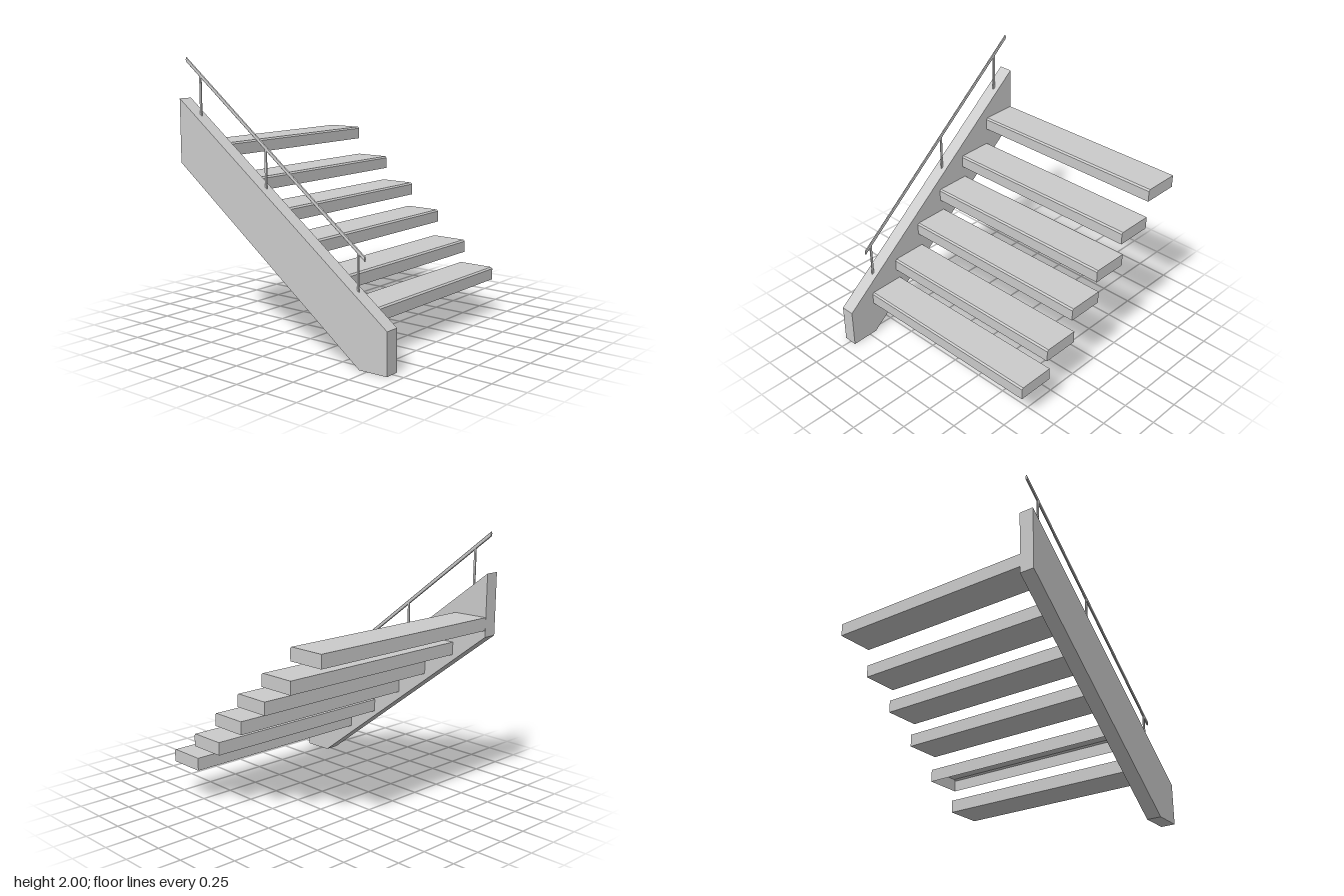
import * as THREE from 'three';

const grey = new THREE.MeshStandardMaterial({ color: 0xcccccc, flatShading: true });
const greyOpen = new THREE.MeshStandardMaterial({ color: 0xcccccc, flatShading: true, side: THREE.DoubleSide });

// The stringer runs slightly askew in plan: its centre line drifts in x along z
const centreX = z => -0.783 + 0.0302 * z;
const HALF = 0.054;

// Side profile of [z, y] points, extruded across x between two x-rules of z
function sidePanel(name, profile, leftX, rightX) {
  const shape = new THREE.Shape(profile.map(([z, y]) => new THREE.Vector2(-z, y)));
  const geo = new THREE.ExtrudeGeometry(shape, { depth: 1, bevelEnabled: false });
  geo.rotateY(Math.PI / 2);
  const p = geo.attributes.position;
  for (let i = 0; i < p.count; i++) {
    const z = p.getZ(i);
    p.setX(i, p.getX(i) < 0.5 ? leftX(z) : rightX(z));
  }
  geo.computeVertexNormals();
  const mesh = new THREE.Mesh(geo, grey);
  mesh.name = name;
  return mesh;
}

// Drops the triangles lying on the lowest plane of a panel
function openUnderside(mesh, bottom) {
  const p = mesh.geometry.attributes.position;
  const kept = [];
  for (let i = 0; i < p.count; i += 3) {
    if ([0, 1, 2].every(k => Math.abs(p.getY(i + k) - bottom) < 1e-4)) continue;
    for (let k = 0; k < 3; k++) kept.push(p.getX(i + k), p.getY(i + k), p.getZ(i + k));
  }
  mesh.geometry = new THREE.BufferGeometry();
  mesh.geometry.setAttribute('position', new THREE.Float32BufferAttribute(kept, 3));
  mesh.geometry.computeVertexNormals();
  mesh.material = greyOpen;
}

export function createModel() {
  const model = new THREE.Group();
  model.name = 'staircase';

  // Sloping side beam with a flat foot and upright ends
  model.add(sidePanel('stringer',
    [[0.91, 0], [0.69, 0], [-0.91, 1.24], [-0.91, 1.705], [0.91, 0.3]],
    z => centreX(z) - HALF, z => centreX(z) + HALF));

  // Cantilevered treads with a chamfered nosing: [front z, bottom y]
  const treads = new THREE.Group();
  treads.name = 'treads';
  const steps = [[0.69, 0.277], [0.435, 0.46], [0.18, 0.673], [-0.075, 0.868], [-0.335, 1.063], [-0.622, 1.29]];
  steps.forEach(([z, y], i) => {
    const back = z - 0.287, top = y + 0.096, c = 0.012;
    const tread = sidePanel('tread' + (i + 1),
      [[z, y], [back, y], [back, top], [z - c, top], [z, top - c]],
      q => centreX(q) + HALF, () => 0.863);
    if (i === 1) openUnderside(tread, y);
    treads.add(tread);
  });
  model.add(treads);

  // Handrail: flattened tube, sheared along the slope so its ends stay upright
  const railing = new THREE.Group();
  railing.name = 'railing';
  const railX = z => centreX(z) + 0.007;
  const railY = z => 1.275 - 0.789 * z;
  const railGeo = new THREE.CylinderGeometry(1, 1, 1.585, 8);
  railGeo.rotateX(Math.PI / 2).scale(0.008, 0.019, 1).translate(0, 0, -0.1025);
  const p = railGeo.attributes.position;
  for (let i = 0; i < p.count; i++) {
    const z = p.getZ(i);
    p.setX(i, p.getX(i) + railX(z));
    p.setY(i, p.getY(i) + railY(z));
  }
  railGeo.computeVertexNormals();
  const rail = new THREE.Mesh(railGeo, grey);
  rail.name = 'handrail';
  railing.add(rail);

  // Posts from the top of the stringer to the handrail
  for (const z of [0.635, -0.15, -0.76]) {
    const foot = 0.995 - 0.772 * z, height = railY(z) - foot;
    const post = new THREE.Mesh(new THREE.CylinderGeometry(1, 1, height, 8), grey);
    post.scale.set(0.007, 1, 0.011);
    post.position.set(railX(z), foot + height / 2, z);
    post.name = 'railPost';
    railing.add(post);
  }
  model.add(railing);

  return model;
}
